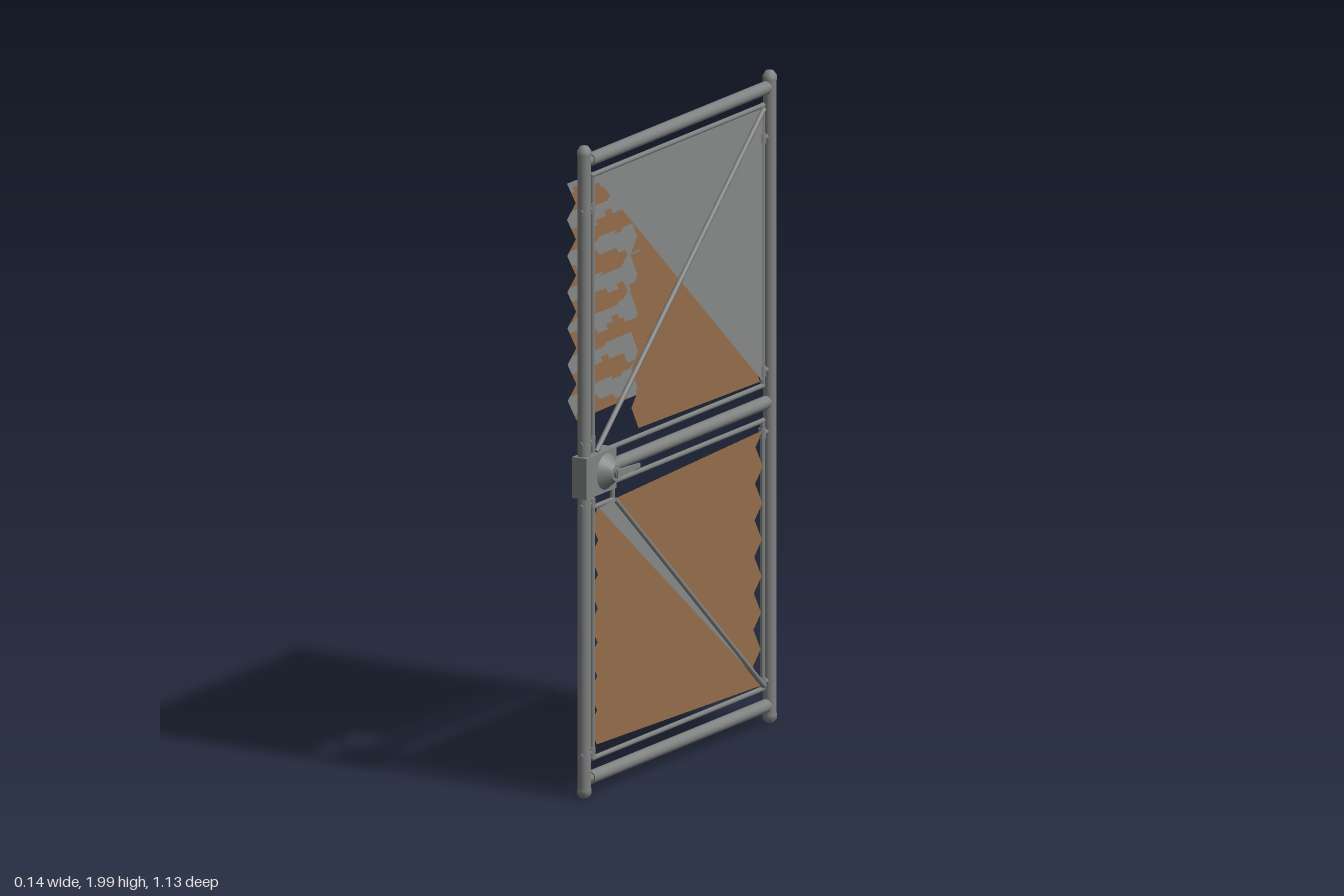
import * as THREE from 'three';

export function createModel() {
  const root = new THREE.Group();
  root.name = 'sheetMetalGate';
  const steel = new THREE.MeshStandardMaterial({ color: 0x808181 });
  steel.name = 'steel grey';
  const rust = new THREE.MeshStandardMaterial({ color: 0x946c4a, side: THREE.DoubleSide });
  rust.name = 'rust brown';
  const plate = new THREE.MeshStandardMaterial({ color: 0x868888, side: THREE.DoubleSide });
  plate.name = 'bare sheet grey';

  function add(name, geometry, material = steel, parent = root) {
    const mesh = new THREE.Mesh(geometry, material);
    mesh.name = name;
    parent.add(mesh);
    return mesh;
  }

  // Round bar between two [z, y] points in the plane of the gate
  function bar(name, a, b, r, sides = 12, x = 0) {
    const p = new THREE.Vector3(x, a[1], a[0]);
    const q = new THREE.Vector3(x, b[1], b[0]);
    const d = q.clone().sub(p);
    const mesh = add(name, new THREE.CylinderGeometry(r, r, d.length(), sides));
    mesh.position.copy(p).add(q).multiplyScalar(0.5);
    mesh.quaternion.setFromUnitVectors(new THREE.Vector3(0, 1, 0), d.normalize());
    return mesh;
  }

  // Thin frame following a closed run of [z, y] corners
  function rodFrame(name, pts) {
    pts.forEach((p, i) => {
      bar(name, p, pts[(i + 1) % pts.length], 0.008, 8);
      const joint = add(name + 'Joint', new THREE.SphereGeometry(0.009, 8, 6));
      joint.position.set(0, p[1], p[0]);
    });
  }

  // Zigzag sheet between four [z, y] corners; isBare picks the unrusted cells
  function corrugated(name, [bl, br, tr, tl], x0, amp, folds, isBare) {
    const nu = isBare ? 26 : 1, sub = isBare ? 4 : 1, nv = folds * sub;
    const pos = [], nor = [], lists = [[], []];
    for (let j = 0; j <= nv; j++) {
      const v = j / nv, f = j / sub, k = Math.floor(f);
      const wave = (k % 2 ? -1 : 1) * (1 - 2 * (f - k));
      for (let i = 0; i <= nu; i++) {
        const u = i / nu;
        const at = c => (1 - v) * ((1 - u) * bl[c] + u * br[c]) + v * ((1 - u) * tl[c] + u * tr[c]);
        pos.push(x0 + amp * wave, at(1), at(0));
        nor.push(1, 0, 0);
      }
    }
    for (let j = 0; j < nv; j++) for (let i = 0; i < nu; i++) {
      const a = j * (nu + 1) + i, d = a + nu + 1;
      const bare = isBare && isBare((i + 0.5) / nu, (j + 0.5) / sub);
      lists[bare ? 1 : 0].push(a, a + 1, d + 1, a, d + 1, d);
    }
    const g = new THREE.BufferGeometry();
    g.setAttribute('position', new THREE.Float32BufferAttribute(pos, 3));
    g.setAttribute('normal', new THREE.Float32BufferAttribute(nor, 3));
    g.setIndex([...lists[0], ...lists[1]]);
    g.addGroup(0, lists[0].length, 0);
    g.addGroup(lists[0].length, lists[1].length, 1);
    add(name, g, [rust, plate]);
  }

  // Flat triangular plate facing +x
  function triangle(name, pts, x) {
    const g = new THREE.BufferGeometry();
    g.setAttribute('position', new THREE.Float32BufferAttribute(pts.flatMap(([z, y]) => [x, y, z]), 3));
    g.computeVertexNormals();
    add(name, g, plate);
  }

  // Posts with domed ends
  const postProfile = [[0, 0.008], [0.012, 0.01], [0.022, 0.022], [0.022, 0.035], [0.02, 0.04],
    [0.02, 1.965], [0.022, 1.97], [0.022, 1.983], [0.012, 1.998], [0, 2]].map(p => new THREE.Vector2(...p));
  for (const s of [1, -1]) {
    const post = add(s > 0 ? 'latchPost' : 'hingePost', new THREE.LatheGeometry(postProfile, 14));
    post.position.z = s * 0.536;
    // Short lugs tying the inner frames to the post
    for (const y of [1.8, 1.09, 0.9, 0.14]) {
      bar('lug', [s * 0.485, y], [s * 0.56, y], 0.008, 8);
      bar('lugCollar', [s * 0.493, y - 0.015], [s * 0.493, y + 0.015], 0.012, 8);
    }
  }

  // Cross rails
  for (const y of [1.95, 0.99, 0.064]) {
    bar('rail', [0.525, y], [-0.525, y], 0.016, 14);
    bar('railSleeve', [0.505, y], [-0.515, y], 0.02, 14);
  }

  // Thin inner frames and braces
  rodFrame('upperFrame', [[0.488, 1.045], [-0.495, 1.045], [-0.495, 1.9], [0.488, 1.9]]);
  rodFrame('lowerFrame', [[0.488, 0.12], [-0.495, 0.12], [-0.495, 0.938],
    [0.372, 0.938], [0.372, 0.885], [0.488, 0.885]]);
  bar('upperBrace', [0.48, 1.055], [-0.49, 1.892], 0.008, 8, 0.008);
  bar('lowerBrace', [0.372, 0.885], [-0.49, 0.13], 0.008, 8, 0.008);

  // Corrugated panels
  corrugated('upperPanel', [[0.222, 1.07], [-0.48, 1.06], [-0.49, 1.885], [0.232, 1.89]], -0.012, 0.012, 14);
  corrugated('lowerPanel', [[0.475, 0.16], [-0.47, 0.135], [-0.487, 0.912], [0.465, 0.885]], -0.006, 0.013, 14);
  // Overlapping patch sheet with worn streaks
  corrugated('patchSheet', [[0.545, 1.16], [0.035, 1.165], [0.03, 1.875], [0.55, 1.88]], -0.036, 0.015, 13,
    (u, f) => {
      const streak = Math.cos(Math.PI * (f - 0.9)) + 0.45 * Math.sin(u * 13 + f * 2.3);
      const worn = u > 0.58 && u < 0.95 ? 0.75 : -0.25;
      return streak + worn > 0;
    });

  // Bare metal sheets
  triangle('upperBareSheet', [[0.48, 1.895], [-0.49, 1.06], [-0.49, 1.895]], 0.003);
  triangle('lowerBareSheet', [[0.465, 0.88], [-0.475, 0.14], [0.372, 0.885]], 0.0085);

  // Latch box with a hub and lever on both sides
  const latch = new THREE.Group();
  latch.name = 'latch';
  latch.position.set(0, 0.99, 0);
  root.add(latch);
  add('latchBox', new THREE.BoxGeometry(0.05, 0.125, 0.175), steel, latch).position.z = 0.478;
  for (const s of [1, -1]) {
    const hub = add('latchHub', new THREE.CylinderGeometry(0.024, 0.056, 0.036, 18), steel, latch);
    hub.rotation.z = -s * Math.PI / 2;
    hub.position.set(s * 0.042, 0, 0.45);
    const spindle = add('spindle', new THREE.CylinderGeometry(0.016, 0.016, 0.012, 12), steel, latch);
    spindle.rotation.z = Math.PI / 2;
    spindle.position.set(s * 0.063, 0, 0.45);
    // Lever tapering towards its free end
    const leverGeo = new THREE.BoxGeometry(0.012, 0.022, 0.13);
    const p = leverGeo.attributes.position;
    for (let i = 0; i < p.count; i++) {
      if (p.getZ(i) < 0) p.setXYZ(i, p.getX(i) * 0.5 + s * 0.003, p.getY(i) * 0.6, p.getZ(i));
    }
    leverGeo.computeVertexNormals();
    add('lever', leverGeo, steel, latch).position.set(s * 0.066, 0, 0.397);
  }
  return root;
}
